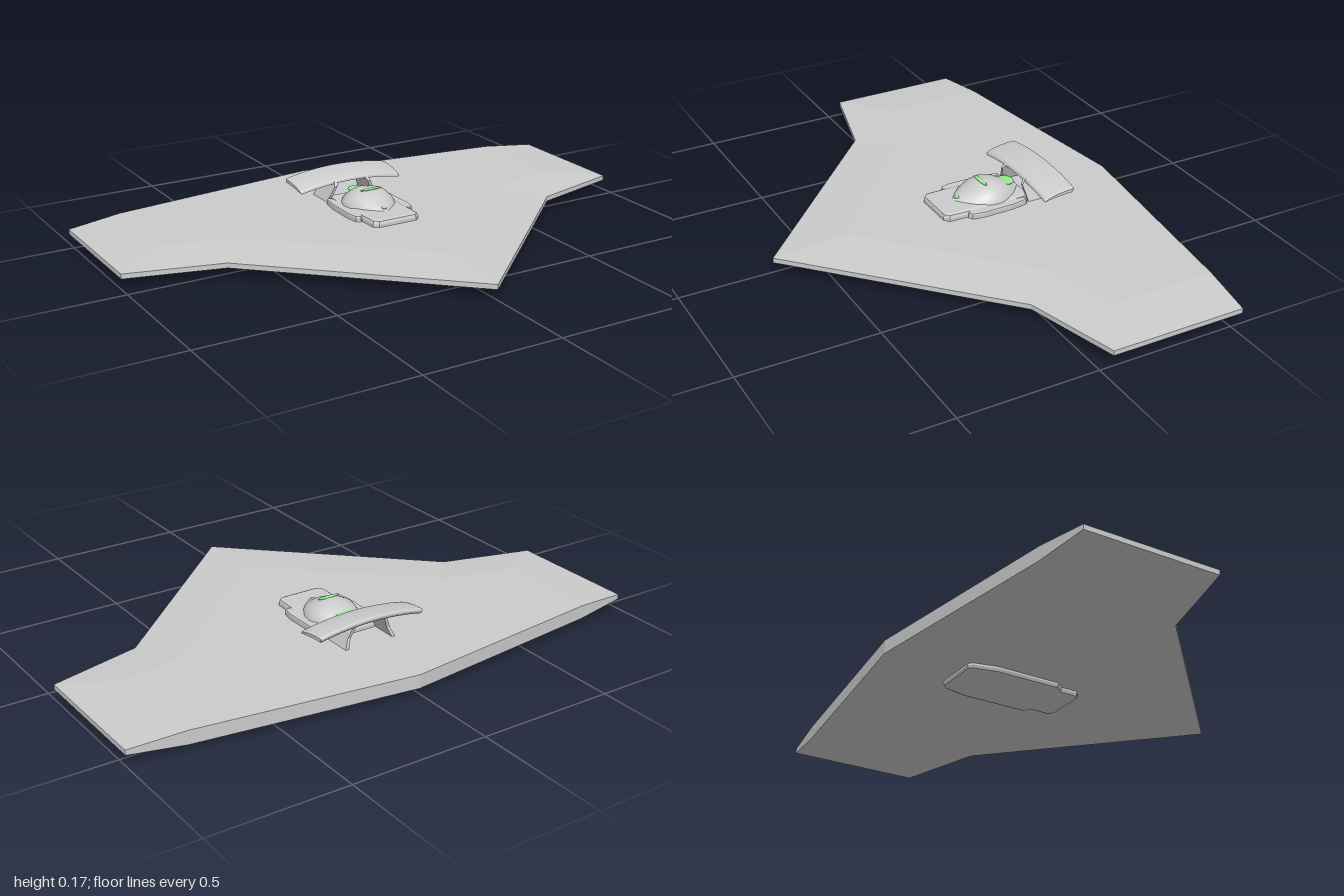
import * as THREE from 'three';

const grey = new THREE.MeshStandardMaterial({ color: 0xcccccc });
const flat = new THREE.MeshStandardMaterial({ color: 0xcccccc, flatShading: true });
const green = new THREE.MeshStandardMaterial({ color: 0x90ee90 });

function add(group, name, geometry, material) {
  const mesh = new THREE.Mesh(geometry, material);
  mesh.name = name;
  group.add(mesh);
  return mesh;
}

// Mirror a half outline of [x, z, ...] running from nose to tail into a closed ring
function mirrorRing(half) {
  const other = half.filter(p => p[0] > 0).reverse().map(([x, ...rest]) => [-x, ...rest]);
  return [...half, ...other];
}

// Plate whose full-thickness middle tapers to a thin leading edge and thin tips
function wingGeometry() {
  const mid = 0.046;
  const outer = mirrorRing([[0, 0.66, 0.009], [0.66, 0.04, 0.009], [1, -0.05, 0.009],
    [1, -0.545, 0.009], [0.8, -0.57, 0.025], [0, -0.67, 0.025]]);
  const inner = mirrorRing([[0, 0.38], [0.54, -0.11], [0.8, -0.18],
    [0.8, -0.57], [0.8, -0.57], [0, -0.67]]);
  const n = outer.length;
  const pos = [];
  const ring = (pts, side) => pts.map(([x, z, h = 0.025]) => [x, mid + side * h, z]);
  const loops = [ring(inner, -1), ring(outer, -1), ring(outer, 1), ring(inner, 1)];
  const tri = (a, b, c) => pos.push(...a, ...b, ...c);
  for (let k = 0; k < 3; k++) {
    for (let i = 0; i < n; i++) {
      const j = (i + 1) % n;
      const a = loops[k][i], b = loops[k][j], c = loops[k + 1][j], d = loops[k + 1][i];
      tri(a, b, c);
      tri(a, c, d);
    }
  }
  // Flat caps over the plateau; the doubled corner is dropped before triangulating
  const cap = inner.filter((p, i) => i === 0 || p[0] !== inner[i - 1][0] || p[1] !== inner[i - 1][1]);
  const flatPts = cap.map(([x, z]) => new THREE.Vector2(x, -z));
  const faces = THREE.ShapeUtils.triangulateShape(flatPts, []);
  const top = ring(cap.map(([x, z]) => [x, z]), 1), bottom = ring(cap.map(([x, z]) => [x, z]), -1);
  for (const f of faces) {
    const [p, q, r] = f.map(i => flatPts[i]);
    const ccw = (q.x - p.x) * (r.y - p.y) - (q.y - p.y) * (r.x - p.x) > 0;
    const [a, b, c] = ccw ? f : [f[0], f[2], f[1]];
    tri(top[a], top[b], top[c]);
    tri(bottom[a], bottom[c], bottom[b]);
  }
  const g = new THREE.BufferGeometry();
  g.setAttribute('position', new THREE.Float32BufferAttribute(pos, 3));
  g.computeVertexNormals();
  return g;
}

// Horizontal slab from a half outline of [x, z], with bevelled rims
function slabGeometry(half, y0, y1, bevel) {
  const shape = new THREE.Shape(mirrorRing(half).map(([x, z]) => new THREE.Vector2(x, -z)));
  const g = new THREE.ExtrudeGeometry(shape, { depth: y1 - y0 - 2 * bevel, bevelEnabled: true,
    bevelThickness: bevel, bevelSize: bevel, bevelOffset: -bevel, bevelSegments: 2 });
  return g.rotateX(-Math.PI / 2).translate(0, y0 + bevel, 0);
}

// Teardrop canopy: half-ellipse ribs lofted along z
function canopyGeometry() {
  const ribs = [[-0.03, 0.012, 0.097], [-0.055, 0.045, 0.106], [-0.09, 0.075, 0.126], [-0.13, 0.094, 0.144],
    [-0.17, 0.1, 0.15], [-0.21, 0.09, 0.141], [-0.25, 0.065, 0.119], [-0.29, 0.025, 0.098]];
  const steps = 20, pos = [], idx = [];
  ribs.forEach(([z, w, h], r) => {
    for (let i = 0; i <= steps; i++) {
      const a = Math.PI * i / steps;
      pos.push(w * Math.cos(a), 0.075 + (h - 0.075) * Math.sin(a), z);
      if (r && i) {
        const p = r * (steps + 1) + i, q = p - steps - 1;
        idx.push(q - 1, p - 1, p, q - 1, p, q);
      }
    }
  });
  const g = new THREE.BufferGeometry();
  g.setAttribute('position', new THREE.Float32BufferAttribute(pos, 3));
  g.setIndex(idx);
  g.computeVertexNormals();
  return g;
}

// Rear aerofoil: rounded side section extruded along x, ends drooping
function spoilerGeometry() {
  const s = new THREE.Shape();
  s.moveTo(0.288, 0.140);
  s.quadraticCurveTo(0.287, 0.152, 0.30, 0.156);
  s.quadraticCurveTo(0.34, 0.170, 0.40, 0.172);
  s.quadraticCurveTo(0.412, 0.171, 0.408, 0.160);
  s.lineTo(0.402, 0.152);
  s.quadraticCurveTo(0.34, 0.150, 0.288, 0.140);
  const g = new THREE.ExtrudeGeometry(s, { depth: 0.40, steps: 16, curveSegments: 6, bevelEnabled: true,
    bevelThickness: 0.01, bevelSize: 0.004, bevelOffset: -0.004, bevelSegments: 2 });
  g.rotateY(Math.PI / 2).translate(-0.2, 0, 0);
  const p = g.attributes.position;
  for (let i = 0; i < p.count; i++) {
    p.setY(i, p.getY(i) - 0.022 * Math.pow(Math.abs(p.getX(i)) / 0.21, 2));
  }
  g.computeVertexNormals();
  return g;
}

// Thin strut in the z-y plane, leaning inward toward the aerofoil
function strutGeometry(side) {
  const s = new THREE.Shape([[0.29, 0.06], [0.40, 0.06], [0.385, 0.105], [0.395, 0.153], [0.29, 0.147], [0.275, 0.13]]
    .map(([x, y]) => new THREE.Vector2(x, y)));
  const g = new THREE.ExtrudeGeometry(s, { depth: 0.012, bevelEnabled: false });
  g.rotateY(Math.PI / 2).translate(-0.006, 0, 0);
  const p = g.attributes.position;
  for (let i = 0; i < p.count; i++) {
    p.setX(i, p.getX(i) + side * (0.10 - (p.getY(i) - 0.06) * 0.42));
  }
  g.computeVertexNormals();
  return g;
}

export function createModel() {
  const model = new THREE.Group();
  model.name = 'flyingWing';

  add(model, 'wing', wingGeometry(), flat);

  // Belly tray and cockpit surround
  add(model, 'belly', slabGeometry([[0, 0.05], [0.075, 0.05], [0.095, 0.035], [0.095, -0.03], [0.12, -0.06],
    [0.12, -0.30], [0.10, -0.385], [0.085, -0.40], [0, -0.40]], 0, 0.05, 0.014), flat);
  const cowl = slabGeometry([[0, 0.045], [0.075, 0.045], [0.093, 0.03], [0.096, -0.05],
    [0.096, -0.27], [0.085, -0.30], [0, -0.30]], 0.05, 0.096, 0.014);
  add(model, 'cowl', cowl, flat);
  for (const side of [1, -1]) {
    const pod = slabGeometry([[0, -0.04], [0.015, -0.05], [0.022, -0.09], [0.02, -0.21], [0.01, -0.27], [0, -0.28]],
      0.05, 0.092, 0.006);
    add(model, side > 0 ? 'leftSidePod' : 'rightSidePod', pod.translate(side * 0.102, 0, 0), flat);
    add(model, side > 0 ? 'leftStrut' : 'rightStrut', strutGeometry(side), flat);
  }

  add(model, 'canopy', canopyGeometry(), grey);
  add(model, 'spoiler', spoilerGeometry(), grey);

  // Tinted patches just breaking the canopy skin: [x, y, z, rx, ry, rz]
  const patches = [[0, 0.121, -0.247, 0.035, 0.006, 0.03], [0, 0.1465, -0.145, 0.045, 0.004, 0.009],
    [0, 0.103, -0.05, 0.01, 0.004, 0.012]];
  for (const [x, y, z, rx, ry, rz] of patches) {
    const patch = add(model, 'canopyTint', new THREE.SphereGeometry(1, 16, 10), green);
    patch.position.set(x, y, z);
    patch.scale.set(rx, ry, rz);
  }
  return model;
}
